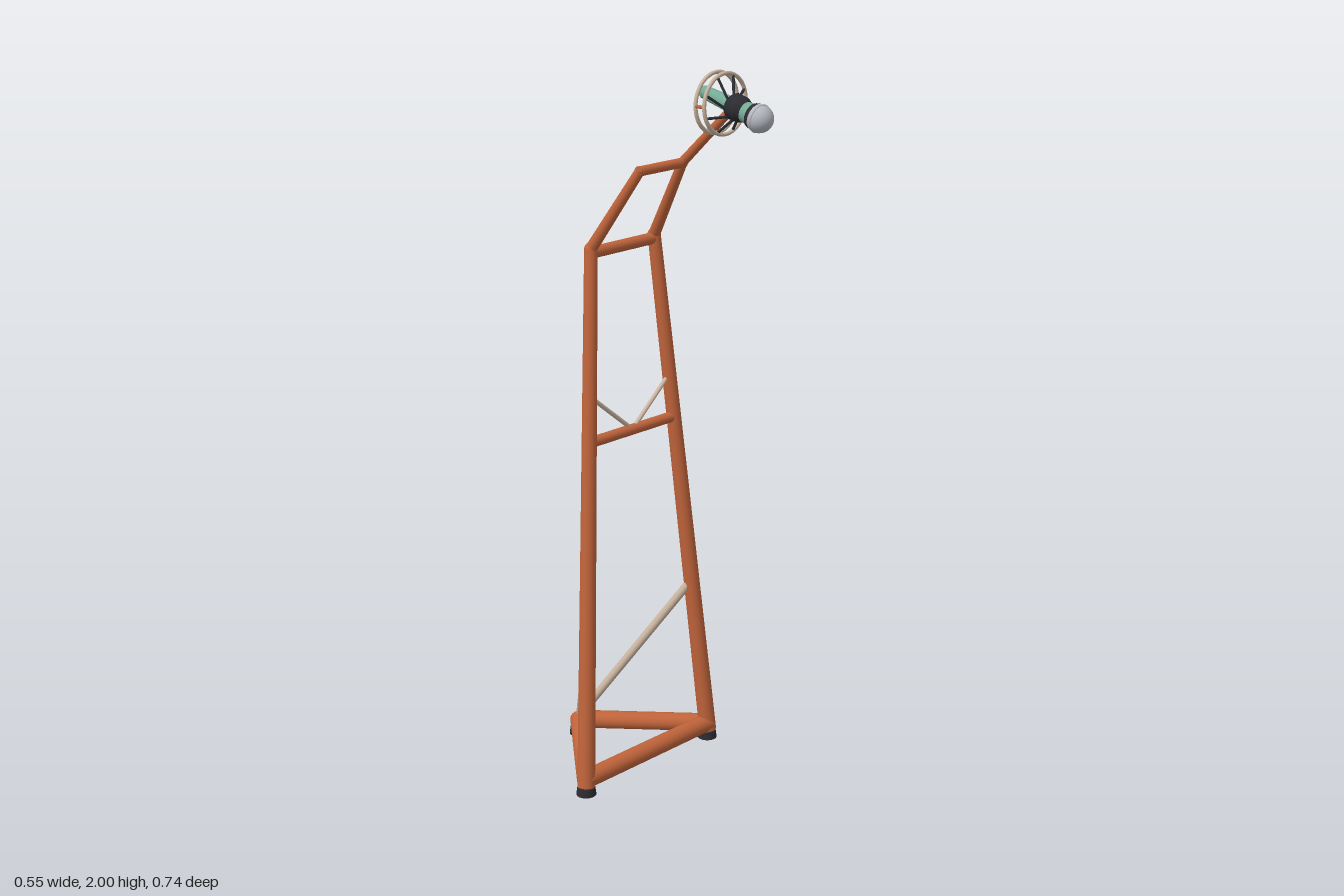
import * as THREE from 'three';

const mat = (name, color) => {
  const m = new THREE.MeshStandardMaterial({ color });
  m.name = name;
  return m;
};

export function createModel() {
  const orange = mat('copper orange', 0xc1643b);
  const beige = mat('warm beige', 0xcbb5a0);
  const green = mat('sage green', 0x74ab95);
  const black = mat('charcoal', 0x2b2b31);
  const silver = mat('silver grey', 0xb4b7be);

  const model = new THREE.Group();
  model.name = 'microphoneStand';
  const V = (x, y, z) => new THREE.Vector3(x, y, z);

  const add = (parent, name, geometry, material, position) => {
    const mesh = new THREE.Mesh(geometry, material);
    mesh.name = name;
    if (position) mesh.position.copy(position);
    parent.add(mesh);
    return mesh;
  };

  // Round bar from a (radius ra) to b (radius rb)
  const rod = (name, a, b, ra, rb, material, parent = model, sides = 20) => {
    const dir = b.clone().sub(a);
    const mesh = add(parent, name, new THREE.CylinderGeometry(rb, ra, dir.length(), sides),
      material, a.clone().add(b).multiplyScalar(0.5));
    mesh.quaternion.setFromUnitVectors(V(0, 1, 0), dir.normalize());
    return mesh;
  };

  // Triangular base with feet
  const back = V(0, 0.045, -0.34);
  const corner = s => V(0.245 * s, 0.045, -0.055);
  rod('baseFrontBar', corner(-1), corner(1), 0.026, 0.026, orange);
  for (const p of [back, corner(-1), corner(1)]) {
    add(model, 'foot', new THREE.CylinderGeometry(0.025, 0.028, 0.022, 20), black, V(p.x, 0.011, p.z));
  }

  // Mirrored frame sides
  for (const s of [-1, 1]) {
    const shoulder = V(0.118 * s, 1.51, -0.145);
    const neck = V(0.078 * s, 1.735, 0);
    rod('baseSideBar', corner(s), back, 0.026, 0.026, orange);
    rod('leg', V(0.246 * s, 0.025, -0.054), shoulder, 0.025, 0.018, orange);
    add(model, 'shoulderJoint', new THREE.SphereGeometry(0.018, 20, 14), orange, shoulder);
    rod('upperArm', shoulder, neck, 0.016, 0.013, orange);
    rod('lowerBrace', V(0, 0.06, -0.335), V(0.195 * s, 0.49, -0.085), 0.012, 0.012, beige);
    rod('middleBrace', V(0.008 * s, 1.0, -0.113), V(0.148 * s, 1.115, -0.119), 0.006, 0.006, beige);
  }

  // Cross bars
  for (const [x, y, z, r] of [[0.16, 0.993, -0.113, 0.015], [0.118, 1.5, -0.145, 0.016], [0.085, 1.73, -0.003, 0.013]]) {
    rod('crossBar', V(-x, y, z), V(x, y, z), r, r, orange);
  }

  // Single arm reaching to the shock mount
  rod('boomArm', V(0.077, 1.73, -0.003), V(0.08, 1.917, 0.195), 0.013, 0.011, orange);

  // Twin mount rings with spacers
  const mount = new THREE.Group();
  mount.name = 'shockMount';
  mount.position.set(0, 1.919, 0);
  model.add(mount);
  for (const z of [0.188, 0.217]) {
    add(mount, 'mountRing', new THREE.TorusGeometry(0.076, 0.0052, 12, 56), beige, V(0, 0, z));
  }
  for (const s of [-1, 1]) {
    rod('ringSpacer', V(0.076 * s, 0, 0.188), V(0.076 * s, 0, 0.217), 0.0045, 0.0045, orange, mount);
  }
  // Swirled elastic spokes from front ring to hub
  for (let i = 0; i < 8; i++) {
    const a = (i + 0.5) * Math.PI / 4, b = a + 0.45;
    rod('spoke', V(0.075 * Math.cos(a), 0.075 * Math.sin(a), 0.217),
      V(0.029 * Math.cos(b), 0.029 * Math.sin(b) - 0.004, 0.247), 0.0035, 0.0035, black, mount, 10);
  }

  // Microphone, built along +y then tipped forward and slightly down
  const mic = new THREE.Group();
  mic.name = 'microphone';
  mic.position.set(0, 1.942, 0.141);
  mic.rotation.x = Math.PI / 2 + 0.234;
  model.add(mic);
  const section = (name, y0, y1, r0, r1, material) =>
    rod(name, V(0, y0, 0), V(0, y1, 0), r0, r1, material, mic, 28);
  section('handleTip', 0, 0.006, 0.014, 0.017, green);
  section('handle', 0.006, 0.12, 0.017, 0.021, green);
  section('hubTaper', 0.1, 0.109, 0.028, 0.034, black);
  section('hub', 0.109, 0.136, 0.034, 0.033, black);
  section('hubFront', 0.136, 0.149, 0.033, 0.027, black);
  section('neck', 0.149, 0.174, 0.026, 0.027, green);
  section('collar', 0.172, 0.184, 0.031, 0.034, black);
  const grille = add(mic, 'grille', new THREE.SphereGeometry(0.0355, 28, 20), silver, V(0, 0.196, 0));
  const band = add(mic, 'grilleBand', new THREE.TorusGeometry(0.0352, 0.002, 8, 36), silver, grille.position);
  band.rotation.x = Math.PI / 2;

  return model;
}
